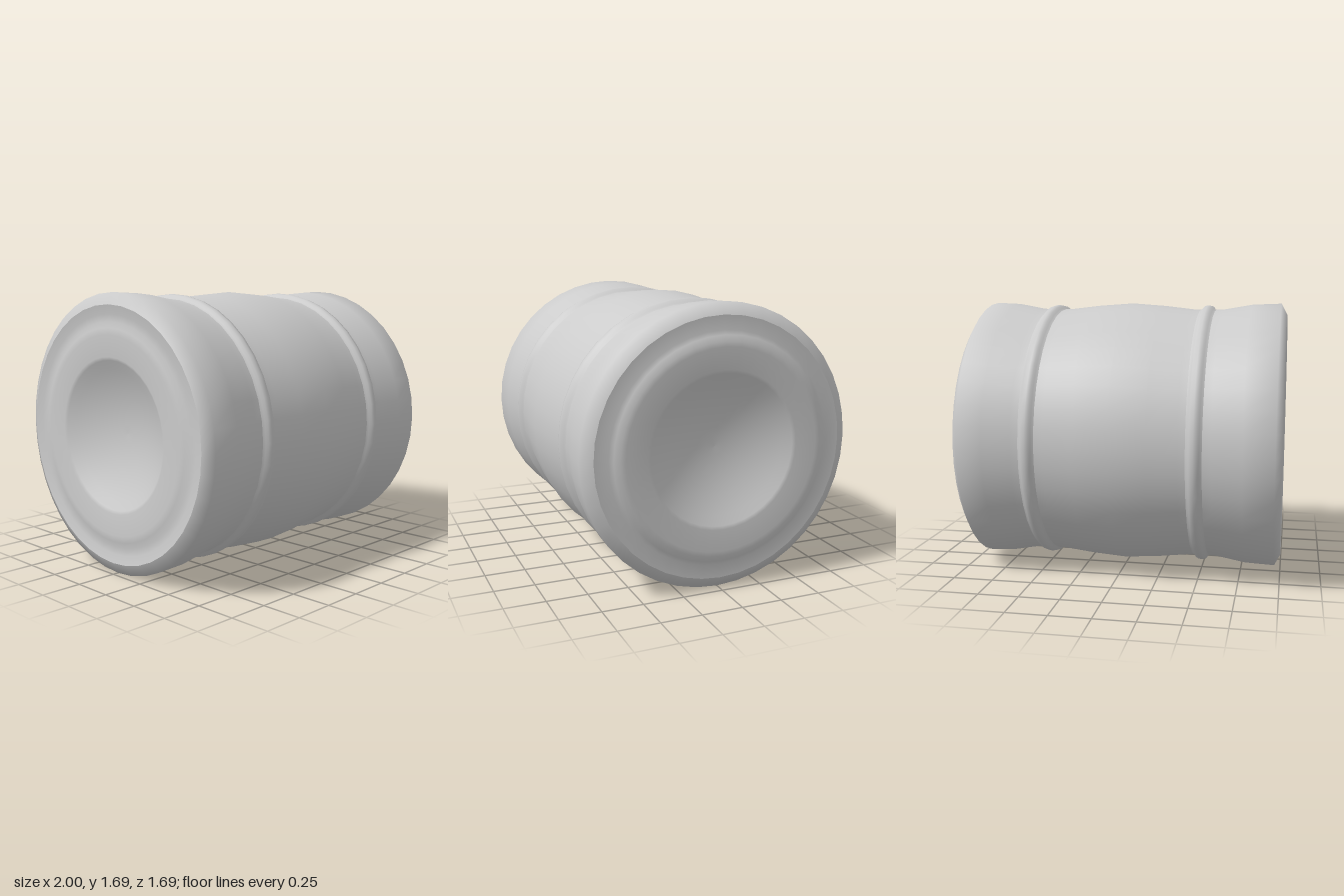
import * as THREE from 'three';

const SEGMENTS = 40;
const AXIS_HEIGHT = 0.845;

// Revolve [x, radius] pairs, ordered from -x to +x, about the x axis
function revolve(name, profile, material) {
  const points = profile.map(([x, r]) => new THREE.Vector2(r, x));
  const geometry = new THREE.LatheGeometry(points, SEGMENTS);
  geometry.rotateZ(-Math.PI / 2);
  const mesh = new THREE.Mesh(geometry, material);
  mesh.name = name;
  mesh.position.y = AXIS_HEIGHT;
  return mesh;
}

// Shallow bowl from its centre to its rim; side is the outward direction in x
function dish(rimX, side) {
  const rim = 0.45, depth = 0.12, points = [];
  for (let i = 0; i <= 8; i++) {
    const t = i / 8;
    points.push([rimX - side * depth * (1 - t * t), rim * t]);
  }
  return points;
}

export function createModel() {
  const group = new THREE.Group();
  group.name = 'barrel';
  const material = new THREE.MeshStandardMaterial({ color: 0xcccccc, side: THREE.DoubleSide });

  // Side wall: a bulge in the middle, a waist under each hoop, chamfered ends
  const wall = [
    [-1, 0.775], [-0.963, 0.845], [-0.78, 0.838], [-0.6, 0.807], [-0.5, 0.803], [-0.4, 0.807],
    [-0.22, 0.828], [0, 0.844], [0.22, 0.828],
    [0.4, 0.807], [0.5, 0.803], [0.6, 0.807], [0.77, 0.838], [0.925, 0.845], [0.97, 0.775],
  ];
  group.add(revolve('barrelWall', wall, material));

  // End caps: the left one has a raised panel, the right one a shallow groove
  const leftCap = [
    [0.97, 0.775], [0.97, 0.69], [0.985, 0.665], [0.998, 0.63], [1, 0.6], [0.995, 0.47],
    ...dish(0.985, 1).reverse(),
  ];
  group.add(revolve('leftEndCap', leftCap, material));

  const rightCap = [
    ...dish(-0.985, -1), [-0.995, 0.47], [-1, 0.6], [-0.997, 0.64],
    [-0.985, 0.675], [-0.988, 0.72], [-1, 0.775],
  ];
  group.add(revolve('rightEndCap', rightCap, material));

  // Raised hoops
  for (const [name, x] of [['rightHoop', -0.498], ['leftHoop', 0.502]]) {
    const hoop = [
      [-0.06, 0.8], [-0.033, 0.812], [-0.025, 0.828], [0, 0.833],
      [0.025, 0.828], [0.033, 0.812], [0.06, 0.8],
    ].map(([dx, r]) => [x + dx, r]);
    group.add(revolve(name, hoop, material));
  }
  return group;
}
